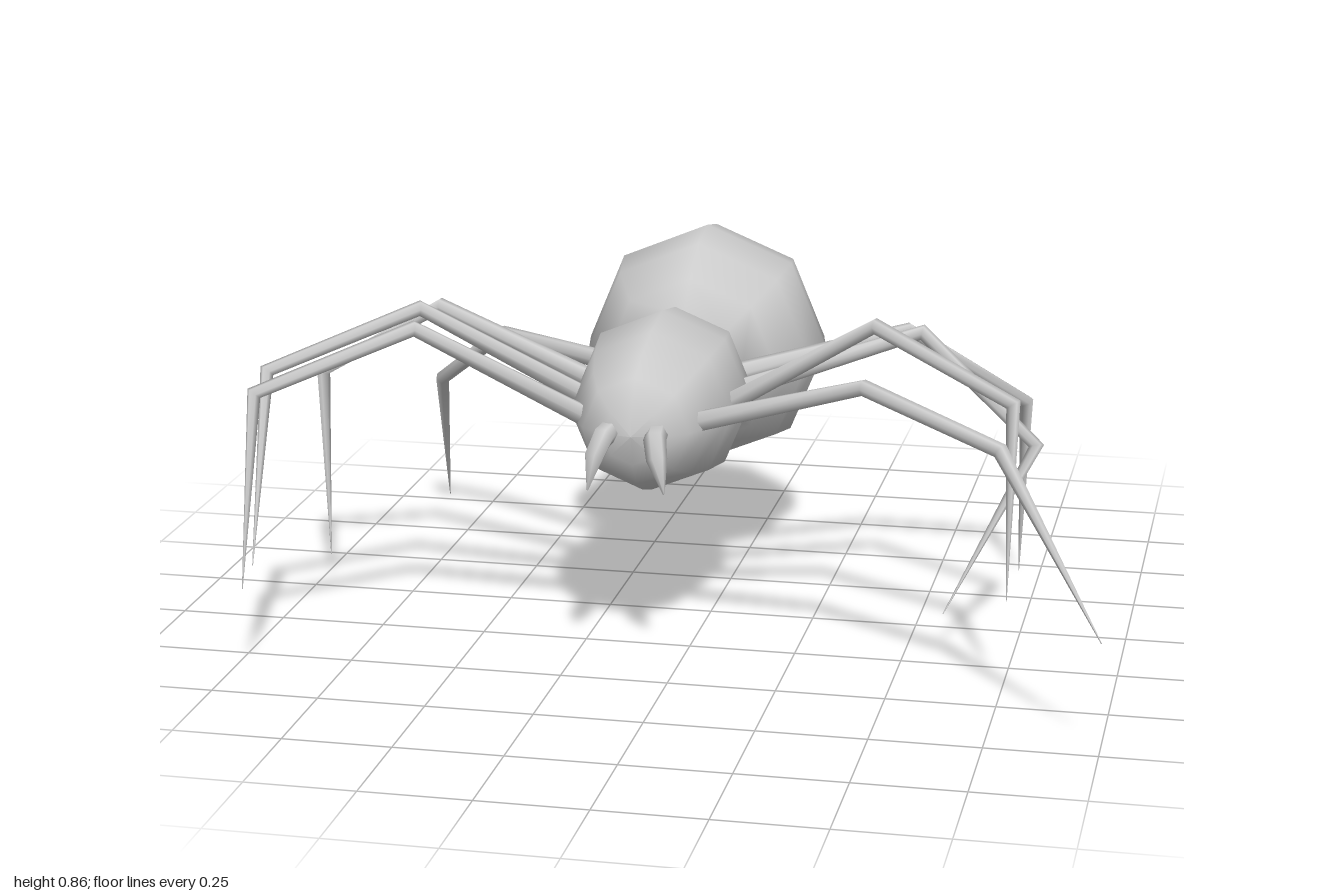
import * as THREE from 'three';

const MID = -0.095; // x of the body axis
const AXIS_Y = 0.573;
const material = new THREE.MeshStandardMaterial({ color: 0xcccccc });

// Smooth jointed limb: one mitred ring per joint, closing to a point at the tip
function limb(name, joints, radii, sides = 6) {
  const p = joints.map((j) => new THREE.Vector3(...j));
  const n = p.length;
  const span = p[n - 1].clone().sub(p[0]);
  const side = new THREE.Vector3(0, 1, 0).cross(span).normalize();
  const positions = [];
  const index = [];
  p.forEach((point, i) => {
    const tangent = new THREE.Vector3();
    if (i > 0) tangent.add(point.clone().sub(p[i - 1]).normalize());
    if (i < n - 1) tangent.add(p[i + 1].clone().sub(point).normalize());
    tangent.normalize();
    const u = side.clone().addScaledVector(tangent, -side.dot(tangent)).normalize();
    const v = tangent.clone().cross(u);
    for (let s = 0; s < sides; s++) {
      const a = (s / sides) * Math.PI * 2;
      const q = point.clone()
        .addScaledVector(u, Math.cos(a) * radii[i])
        .addScaledVector(v, Math.sin(a) * radii[i]);
      positions.push(q.x, q.y, q.z);
      if (i === n - 1) continue;
      const b = i * sides + s;
      const c = i * sides + ((s + 1) % sides);
      index.push(b, c, b + sides, c, c + sides, b + sides);
    }
  });
  // Root cap
  for (let s = 1; s < sides - 1; s++) index.push(0, s + 1, s);
  const geometry = new THREE.BufferGeometry();
  geometry.setAttribute('position', new THREE.Float32BufferAttribute(positions, 3));
  geometry.setIndex(index);
  geometry.computeVertexNormals();
  const mesh = new THREE.Mesh(geometry, material);
  mesh.name = name;
  return mesh;
}

// Abdomen and thorax as one eight-sided smooth turned form along z
function body() {
  const profile = [];
  for (let i = 0; i <= 6; i++) {
    const a = Math.PI * (1 - i / 8);
    profile.push(new THREE.Vector2(Math.max(0, Math.sin(a) * 0.3), -0.425 + Math.cos(a) * 0.3));
  }
  const thorax = [
    [0.142, -0.14], [0.185, -0.04], [0.21, 0.1], [0.19, 0.22],
    [0.16, 0.32], [0.125, 0.385], [0.07, 0.425], [0, 0.44],
  ];
  thorax.forEach(([r, z]) => profile.push(new THREE.Vector2(r, z)));
  const mesh = new THREE.Mesh(new THREE.LatheGeometry(profile, 8).rotateX(Math.PI / 2), material);
  mesh.position.set(MID, AXIS_Y, 0);
  mesh.name = 'body';
  return mesh;
}

// Each leg: hip, knee, ankle, tip
const LEGS = {
  leftFrontLeg: [[0.05, 0.59, 0.33], [0.44, 0.73, 0.485], [0.76, 0.65, 0.64], [1.0, 0.28, 0.78]],
  leftSecondLeg: [[0.08, 0.59, 0.17], [0.435, 0.82, 0.29], [0.76, 0.685, 0.395], [0.757, 0.23, 0.405]],
  leftThirdLeg: [[0.09, 0.59, 0.03], [0.5, 0.73, -0.025], [0.78, 0.49, 0.045], [0.59, 0.118, 0.205]],
  leftRearLeg: [[0.05, 0.59, -0.1], [0.436, 0.675, -0.25], [0.71, 0.47, -0.4], [0.697, 0.013, -0.455]],
  rightFrontLeg: [[-0.24, 0.59, 0.33], [-0.59, 0.805, 0.46], [-0.91, 0.685, 0.64], [-0.933, 0.245, 0.705]],
  rightSecondLeg: [[-0.275, 0.59, 0.17], [-0.63, 0.805, 0.275], [-0.945, 0.685, 0.45], [-0.944, 0.265, 0.602]],
  rightThirdLeg: [[-0.28, 0.59, 0.04], [-0.675, 0.73, -0.05], [-0.985, 0.545, -0.072], [-0.957, 0.096, 0]],
  rightRearLeg: [[-0.23, 0.59, -0.1], [-0.6, 0.595, -0.33], [-0.82, 0.41, -0.54], [-0.877, 0.018, -0.78]],
};

export function createModel() {
  const group = new THREE.Group();
  group.name = 'spider';
  group.add(body());

  // Legs, with the hip pushed a little way into the thorax
  for (const [name, [hip, ...rest]] of Object.entries(LEGS)) {
    const root = hip.map((h, k) => h - 0.12 * (rest[0][k] - h));
    group.add(limb(name, [root, ...rest], [0.026, 0.019, 0.018, 0.001]));
  }

  // Pair of curved fangs
  for (const s of [1, -1]) {
    const joints = [[0.05, 0.58, 0.37], [0.06, 0.575, 0.46], [0.072, 0.54, 0.495], [0.088, 0.46, 0.495]]
      .map(([x, y, z]) => [MID + s * x, y, z]);
    group.add(limb(s > 0 ? 'leftFang' : 'rightFang', joints, [0.025, 0.026, 0.024, 0.002]));
  }
  return group;
}
